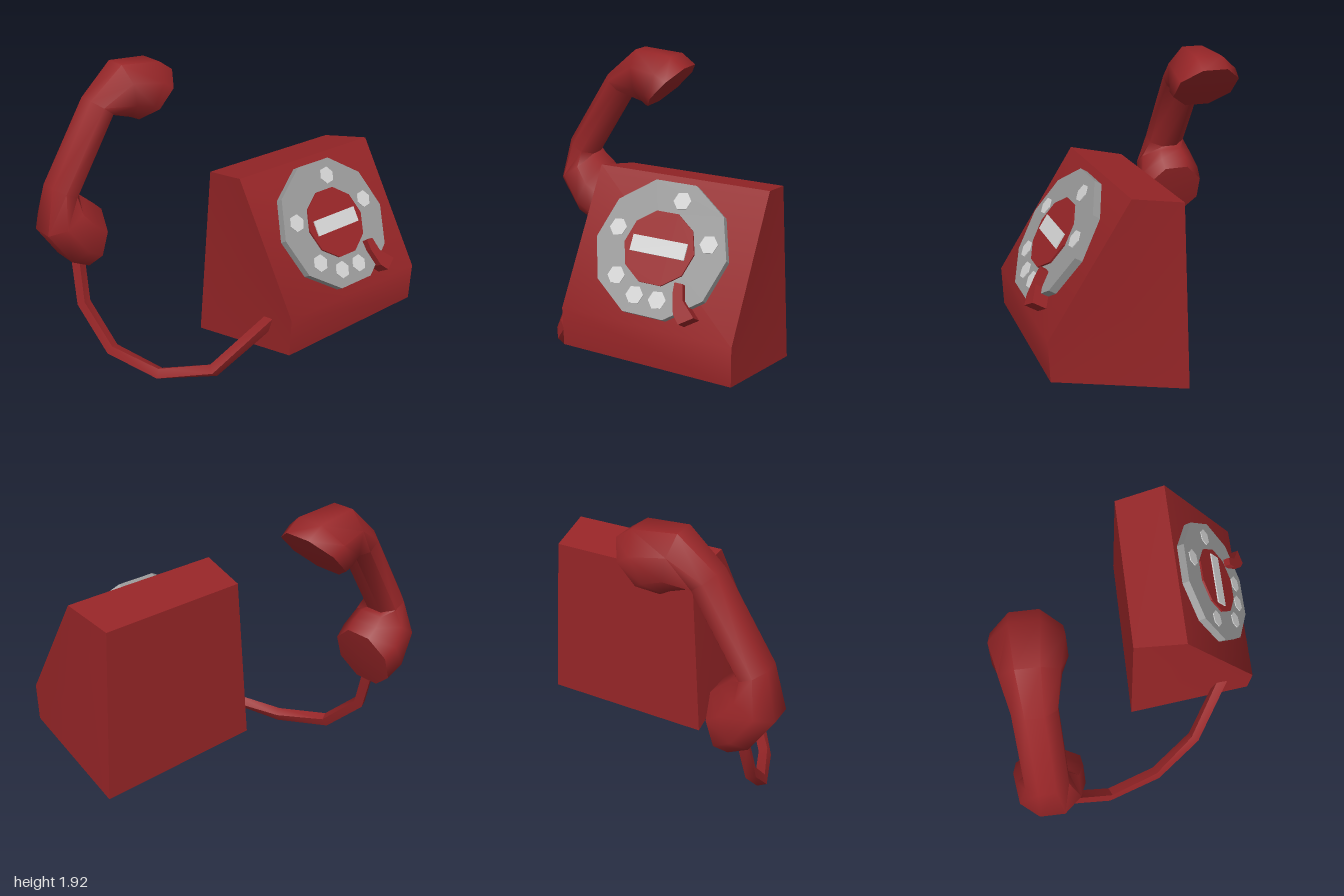
import * as THREE from 'three';
import { toCreasedNormals } from 'three/addons/utils/BufferGeometryUtils.js';

const mat = (name, color) => {
  const m = new THREE.MeshStandardMaterial({ color });
  m.name = name;
  return m;
};
const V = (x, y, z) => new THREE.Vector3(x, y, z);

// Skin a list of equal-length rings and close both ends around a centre point.
function loft(rings, startCentre, endCentre, crease = 1.0) {
  const n = rings[0].length;
  const centre = (r) => r.reduce((s, p) => s.add(p), V(0, 0, 0)).divideScalar(n);
  const last = rings.length - 1;
  const pts = [...rings.flat(), startCentre ?? centre(rings[0]), endCentre ?? centre(rings[last])];
  const a = rings.length * n, b = a + 1, index = [];
  for (let j = 0; j < n; j++) {
    const k = (j + 1) % n;
    for (let i = 0; i < last; i++) {
      const p = i * n, q = p + n;
      index.push(p + j, p + k, q + k, p + j, q + k, q + j);
    }
    index.push(a, k, j, b, last * n + j, last * n + k);
  }
  const g = new THREE.BufferGeometry().setFromPoints(pts);
  g.setIndex(index);
  return toCreasedNormals(g, crease);
}

function polygon(r, sides, Type = THREE.Shape) {
  const pts = [];
  for (let i = 0; i < sides; i++) {
    const t = (i / sides) * Math.PI * 2;
    pts.push(new THREE.Vector2(r * Math.cos(t), r * Math.sin(t)));
  }
  return new Type(pts);
}

const extrude = (shape, depth) => new THREE.ExtrudeGeometry(shape, { depth, bevelEnabled: false });

export function createModel() {
  const model = new THREE.Group();
  model.name = 'telephone';
  const red = mat('red', 0x962527);
  const grey = mat('grey', 0x989898);
  const pale = mat('paleGrey', 0xd2d2d2);
  const add = (parent, name, geo, material) => {
    const m = new THREE.Mesh(geo, material);
    m.name = name;
    parent.add(m);
    return m;
  };

  // Wedge-shaped body: side profile as [z, y, half width]
  const profile = [
    [0.31, 1.37, 0.553], [0.8, 0.6, 0.553], [0.79, 0.35, 0.553],
    [-0.045, 0.16, 0.588], [-0.02, 1.3, 0.515],
  ];
  const side = (s) => profile.map(([z, y, w]) => V(0.41 + s * w, y, z));
  add(model, 'body', loft([side(-1), side(1)]), red);

  // Dial group lies on the sloping front
  const dial = new THREE.Group();
  dial.name = 'dial';
  dial.position.set(0.408, 0.99, 0.552);
  dial.rotation.x = -Math.atan2(0.49, 0.77);
  model.add(dial);

  const ringShape = polygon(0.422, 10);
  ringShape.holes.push(polygon(0.226, 10, THREE.Path));
  add(dial, 'dialRing', extrude(ringShape, 0.05), grey);
  add(dial, 'dialHub', extrude(polygon(0.226, 10), 0.062), red);
  add(dial, 'dialLabel', new THREE.BoxGeometry(0.352, 0.098, 0.009), pale).position.set(0, 0.003, 0.066);

  // Finger holes
  for (const deg of [77, 14, 165, 222, 255, 283]) {
    const t = THREE.MathUtils.degToRad(deg);
    const hole = add(dial, 'fingerHole', extrude(polygon(0.056, 6), 0.006), pale);
    hole.position.set(0.305 * Math.cos(t), 0.305 * Math.sin(t), 0.049);
    hole.rotation.z = 0.15;
  }

  // Bent finger stop
  const stop = new THREE.Shape([
    [0.165, -0.18], [0.17, -0.247], [0.205, -0.36], [0.25, -0.407],
    [0.33, -0.353], [0.24, -0.27], [0.215, -0.18],
  ].map(([x, y]) => new THREE.Vector2(x, y)));
  add(dial, 'fingerStop', extrude(stop, 0.093), red);

  // Handset: sections as [outer x, outer y, inner x, inner y, half depth]
  const sections = [
    [-0.72, 0.62, -0.6, 1.0, 0.205],
    [-0.85, 0.69, -0.66, 1.06, 0.22],
    [-1.0, 0.92, -0.715, 1.11, 0.19],
    [-0.93, 1.22, -0.742, 1.13, 0.132],
    [-0.61, 1.73, -0.45, 1.605, 0.132],
    [-0.38, 1.925, -0.33, 1.57, 0.175],
    [-0.1, 1.9, -0.295, 1.555, 0.22],
    [0.0, 1.83, -0.275, 1.545, 0.21],
  ];
  const handsetRings = sections.map(([ox, oy, ix, iy, w]) =>
    Array.from({ length: 8 }, (_, j) => {
      const t = ((j + 0.5) / 8) * Math.PI * 2, k = 1 / Math.cos(Math.PI / 8);
      const c = Math.cos(t) * k, s = Math.sin(t) * k;
      return V((ox + ix) / 2 + ((ox - ix) / 2) * c, (oy + iy) / 2 + ((oy - iy) / 2) * c, -0.63 + w * s);
    }));
  add(model, 'handset', loft(handsetRings, V(-0.645, 0.805, -0.63), V(-0.122, 1.675, -0.63)), red);

  // Four-sided cord from the mouthpiece to the body
  const path = [
    V(-0.76, 0.7, -0.62), V(-0.79, 0.37, -0.53), V(-0.75, 0.115, -0.27),
    V(-0.62, 0.05, 0.08), V(-0.41, 0.14, 0.38), V(-0.1, 0.53, 0.61),
  ];
  const cordRings = path.map((p, i) => {
    const before = path[Math.max(i - 1, 0)], after = path[Math.min(i + 1, path.length - 1)];
    const T = p.clone().sub(before).normalize().add(after.clone().sub(p).normalize()).normalize();
    const A = V(1, 0, 0).addScaledVector(T, -T.x).normalize();
    const B = T.clone().cross(A);
    return Array.from({ length: 4 }, (_, j) => {
      const t = (j / 4) * Math.PI * 2 + 0.35;
      return p.clone().addScaledVector(A, 0.045 * Math.cos(t)).addScaledVector(B, 0.045 * Math.sin(t));
    });
  });
  add(model, 'cord', loft(cordRings, undefined, undefined, 0.6), red);

  return model;
}
